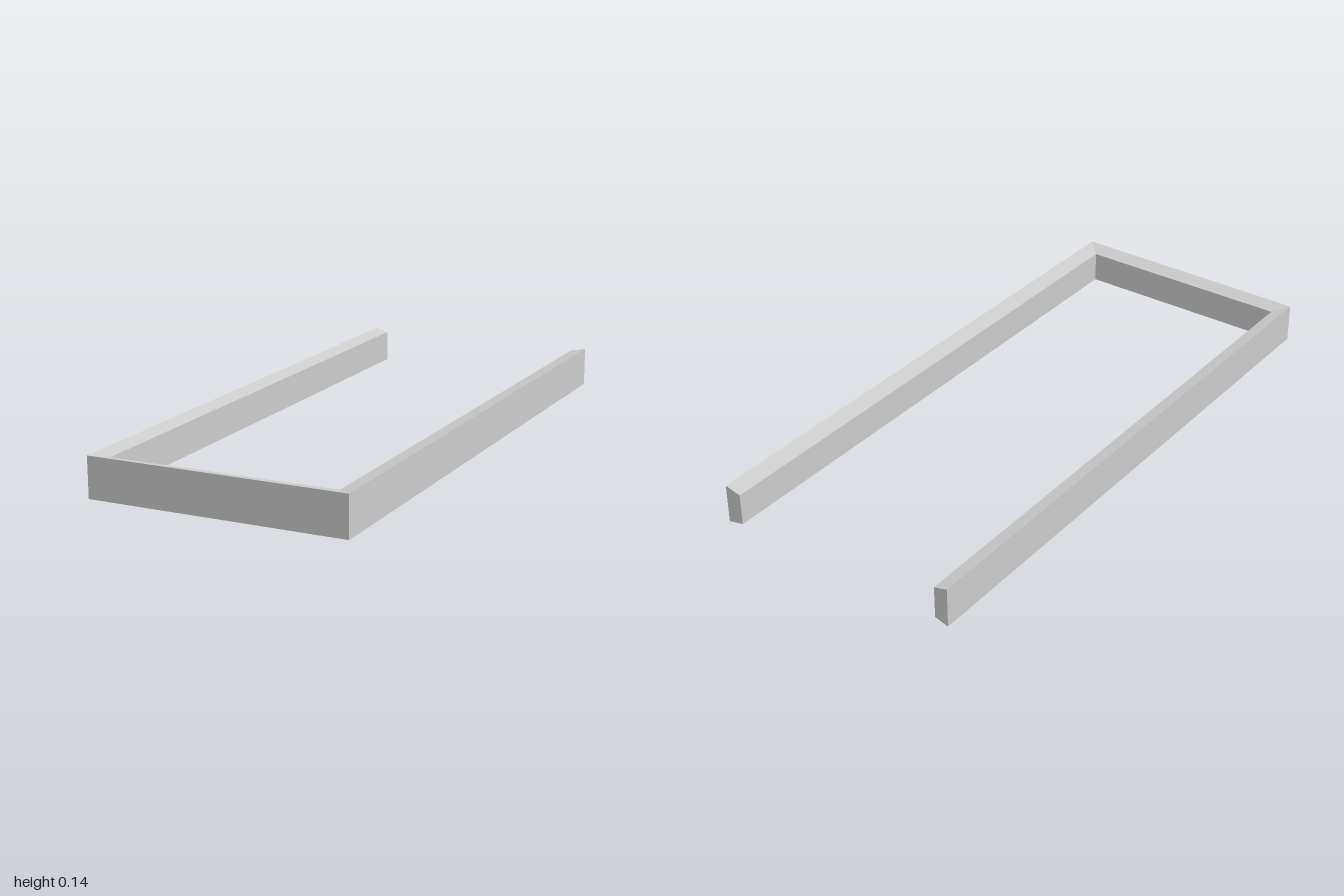
import * as THREE from 'three';

const HEIGHT = 0.135;
const TAPER = 0.013; // inner face is slightly shorter than the outer one

// Stations along the U: outer and inner plan points [x, z]
const stations = [
  { outer: [-0.432, -1], inner: [-0.385, -1] },
  { outer: [-0.432, 1], inner: [-0.385, 0.947] },
  { outer: [0.432, 1], inner: [0.375, 0.943] },
  { outer: [0.432, -1], inner: [0.375, -1] },
];

// Tapered cross-section at one station
function ring({ outer: [ox, oz], inner: [ix, iz] }) {
  return [
    [ox, 0, oz],
    [ix, TAPER, iz],
    [ix, HEIGHT - TAPER, iz],
    [ox, HEIGHT, oz],
  ];
}

// One mitred bar between two stations, capped where the U is open
function bar(name, from, to, capStart, capEnd, material) {
  const a = ring(from);
  const b = ring(to);
  const positions = [];
  const quad = (p, q, r, s) => positions.push(...p, ...q, ...r, ...p, ...r, ...s);
  for (let k = 0; k < 4; k++) {
    const n = (k + 1) % 4;
    quad(a[k], a[n], b[n], b[k]);
  }
  if (capStart) quad(a[3], a[2], a[1], a[0]);
  if (capEnd) quad(...b);
  const geometry = new THREE.BufferGeometry();
  geometry.setAttribute('position', new THREE.Float32BufferAttribute(positions, 3));
  geometry.computeVertexNormals();
  const mesh = new THREE.Mesh(geometry, material);
  mesh.name = name;
  return mesh;
}

export function createModel() {
  const group = new THREE.Group();
  group.name = 'uShapedFrame';
  const material = new THREE.MeshStandardMaterial({ color: 0xcccccc, flatShading: true });
  ['rightSideBar', 'frontBar', 'leftSideBar'].forEach((name, i) => {
    group.add(bar(name, stations[i], stations[i + 1], i === 0, i === 2, material));
  });
  return group;
}
